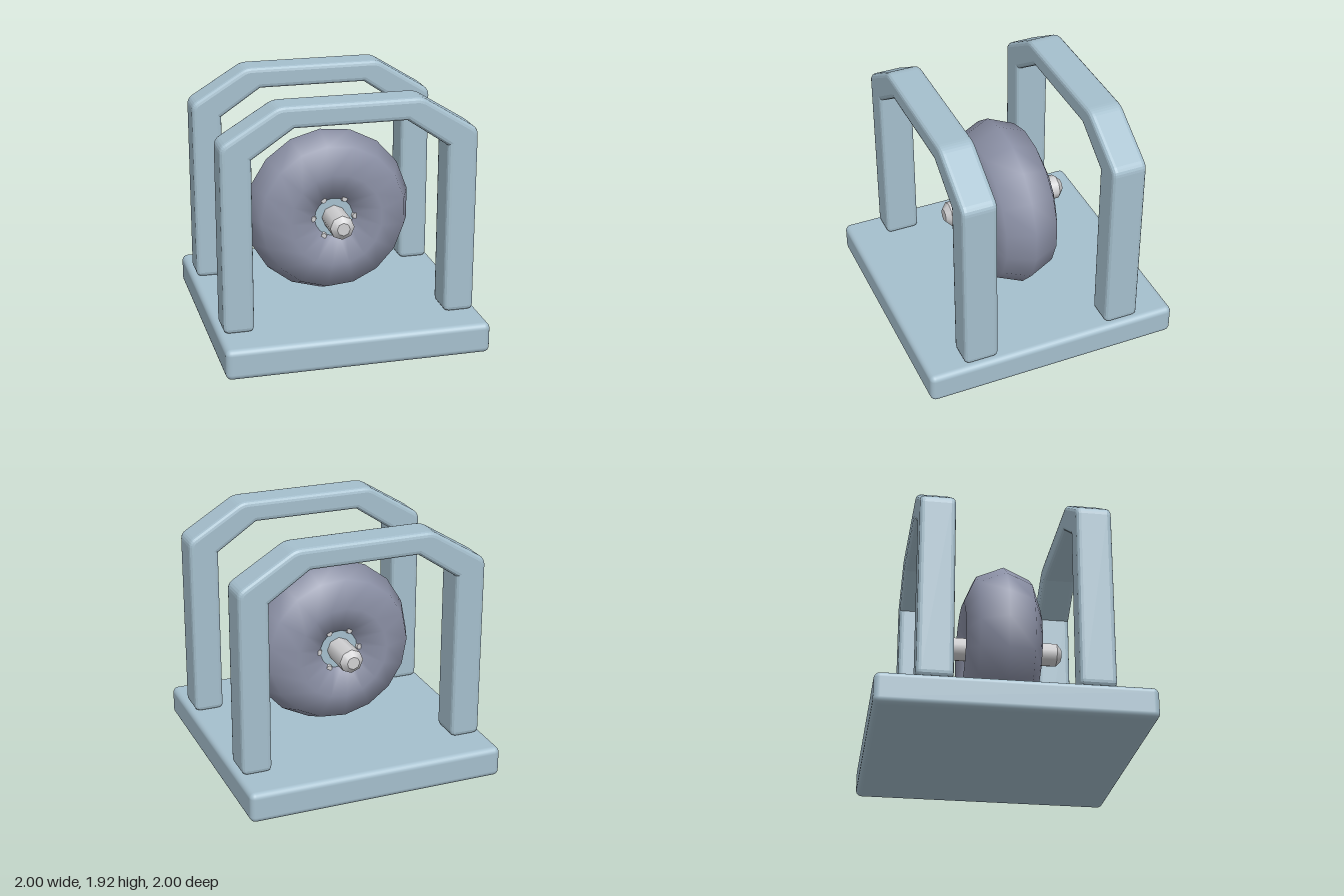
import * as THREE from 'three';
import { RoundedBoxGeometry } from 'three/addons/geometries/RoundedBoxGeometry.js';

const material = (name, color) => new THREE.MeshStandardMaterial({ name, color });

// Closed outline whose convex corners are softened by a small curve
function softShape(points, radius) {
  const pts = points.map(([x, y]) => new THREE.Vector2(x, y));
  const shape = new THREE.Shape();
  pts.forEach((p, i) => {
    const prev = pts[(i + pts.length - 1) % pts.length];
    const next = pts[(i + 1) % pts.length];
    const a = p.clone().add(prev.clone().sub(p).setLength(radius));
    const b = p.clone().add(next.clone().sub(p).setLength(radius));
    const convex = p.clone().sub(prev).cross(next.clone().sub(p)) > 0;
    if (!convex) {
      shape.lineTo(p.x, p.y);
    } else {
      if (i === 0) shape.moveTo(a.x, a.y);
      else shape.lineTo(a.x, a.y);
      shape.quadraticCurveTo(p.x, p.y, b.x, b.y);
    }
  });
  shape.closePath();
  return shape;
}

export function createModel() {
  const model = new THREE.Group();
  const paleBlue = material('paleBlue', 0xa5bfcd);
  const rubber = material('rubberGrey', 0x8a8fa4);
  const steel = material('lightSteel', 0xd0d0d2);

  const add = (name, geometry, mat, parent = model) => {
    const mesh = new THREE.Mesh(geometry, mat);
    mesh.name = name;
    parent.add(mesh);
    return mesh;
  };

  // Base plate
  add('basePlate', new RoundedBoxGeometry(2, 0.235, 2, 3, 0.045), paleBlue).position.y = 0.1175;

  // Two arched side frames, counter-clockwise outline
  const half = [[0.73, 0.235], [0.96, 0.235], [0.96, 1.66], [0.53, 1.925]];
  const inner = [[0.42, 1.76], [0.73, 1.55]];
  const flip = ([x, y]) => [-x, y];
  const outline = [
    ...half, ...half.map(flip).reverse(),
    ...inner.map(flip).reverse(), ...inner,
  ];
  const bevel = 0.035;
  const depth = 0.265;
  const archGeometry = new THREE.ExtrudeGeometry(softShape(outline, 0.045), {
    depth: depth - 2 * bevel, curveSegments: 4,
    bevelEnabled: true, bevelThickness: bevel, bevelSize: bevel, bevelOffset: -bevel, bevelSegments: 3,
  });
  archGeometry.translate(0, 0, bevel - depth / 2);
  for (const [name, side] of [['frontArch', 1], ['backArch', -1]]) {
    add(name, archGeometry, paleBlue).position.z = side * 0.5775;
  }

  // Wheel assembly around the axle centre
  const wheel = new THREE.Group();
  wheel.name = 'wheel';
  wheel.position.y = 0.89;
  model.add(wheel);

  add('tyre', new THREE.TorusGeometry(0.36, 0.29, 8, 17), rubber, wheel).rotation.z = Math.PI;
  add('hub', new THREE.CylinderGeometry(0.17, 0.17, 0.39, 17).rotateX(Math.PI / 2), paleBlue, wheel);

  // Axle with chamfered ends
  add('axle', new THREE.CylinderGeometry(0.094, 0.094, 0.9, 8, 1, true).rotateX(Math.PI / 2), steel, wheel);
  for (const side of [1, -1]) {
    const tip = new THREE.CylinderGeometry(0.05, 0.094, 0.04, 8).rotateX(side * Math.PI / 2);
    add('axleTip', tip, steel, wheel).position.z = side * 0.47;

    // Ring of hub bolts
    for (let i = 0; i < 6; i++) {
      const angle = i * Math.PI / 3;
      const bolt = add('hubBolt', new THREE.CylinderGeometry(0.022, 0.032, 0.03, 8).rotateX(side * Math.PI / 2), steel, wheel);
      bolt.position.set(0.165 * Math.cos(angle), 0.165 * Math.sin(angle), side * 0.2);
    }
  }
  return model;
}
